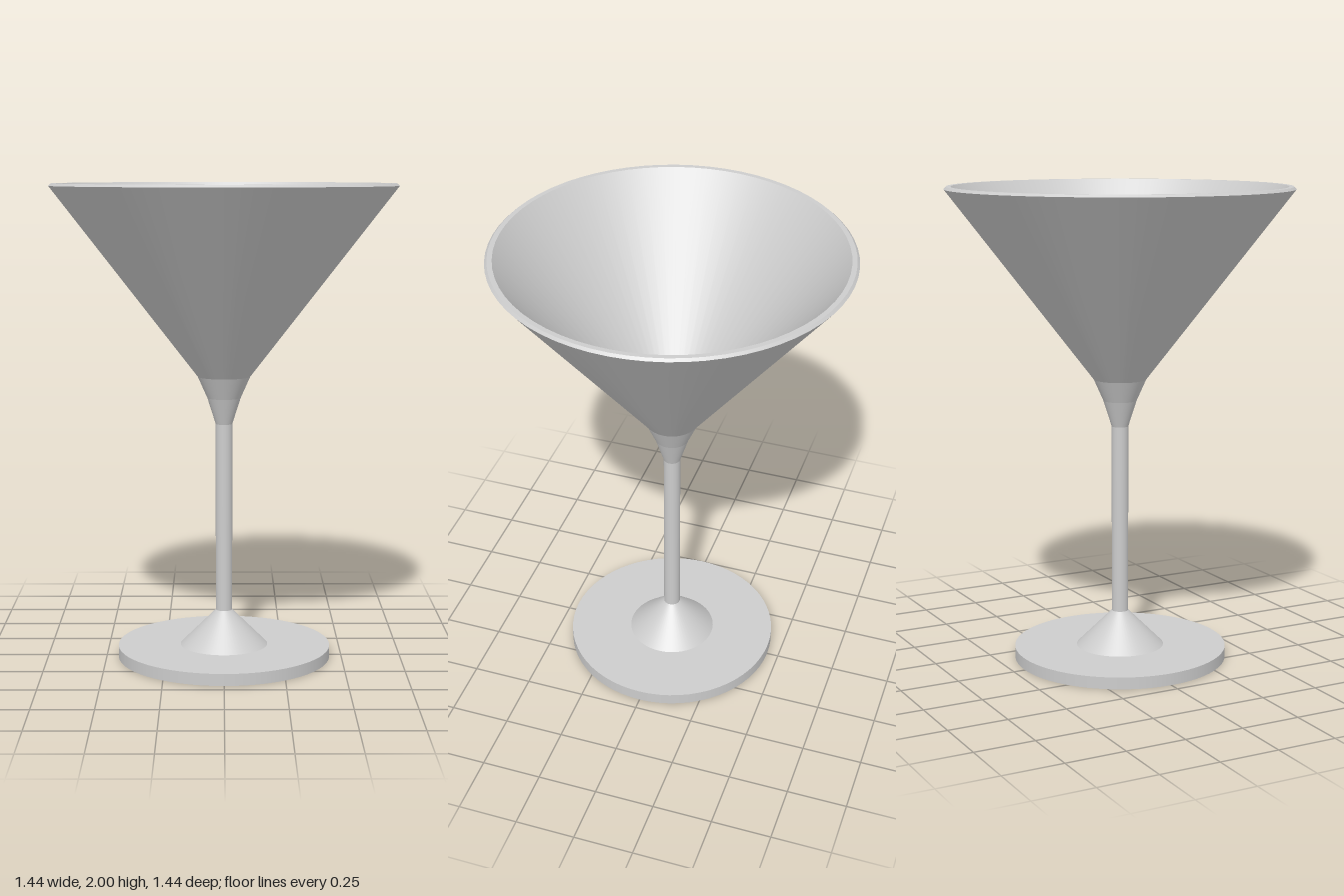
import * as THREE from 'three';
import { mergeGeometries } from 'three/addons/utils/BufferGeometryUtils.js';

const SEGMENTS = 64;

// Revolve a profile of [radius, height] points, keeping a crisp edge at every point.
function turned(name, profile, material) {
  const points = profile.map(([r, y]) => new THREE.Vector2(r, y));
  const bands = points.slice(1).map((p, i) => new THREE.LatheGeometry([points[i], p], SEGMENTS));
  const mesh = new THREE.Mesh(mergeGeometries(bands), material);
  mesh.name = name;
  return mesh;
}

export function createModel() {
  const group = new THREE.Group();
  group.name = 'cocktailGlass';
  const glass = new THREE.MeshStandardMaterial({ color: 0xcccccc });
  glass.name = 'pale grey';

  group.add(
    // flat round foot
    turned('foot', [[0, 0], [0.45, 0], [0.45, 0.05], [0.185, 0.05]], glass),
    // cone rising from the foot to the stem
    turned('footCone', [[0.185, 0.05], [0.035, 0.2]], glass),
    turned('stem', [[0.035, 0.2], [0.035, 1]], glass),
    // flare and outside of the bowl
    turned('bowlOutside', [[0.035, 1], [0.07, 1.11], [0.11, 1.2], [0.72, 1.99]], glass),
    // bevelled lip
    turned('rim', [[0.72, 1.99], [0.71, 2], [0.69, 2]], glass),
    // inside of the bowl, down to its shallow rounded floor
    turned('bowlInside', [[0.69, 2], [0.105, 1.24], [0.07, 1.21], [0.035, 1.195], [0, 1.19]], glass)
  );
  return group;
}
